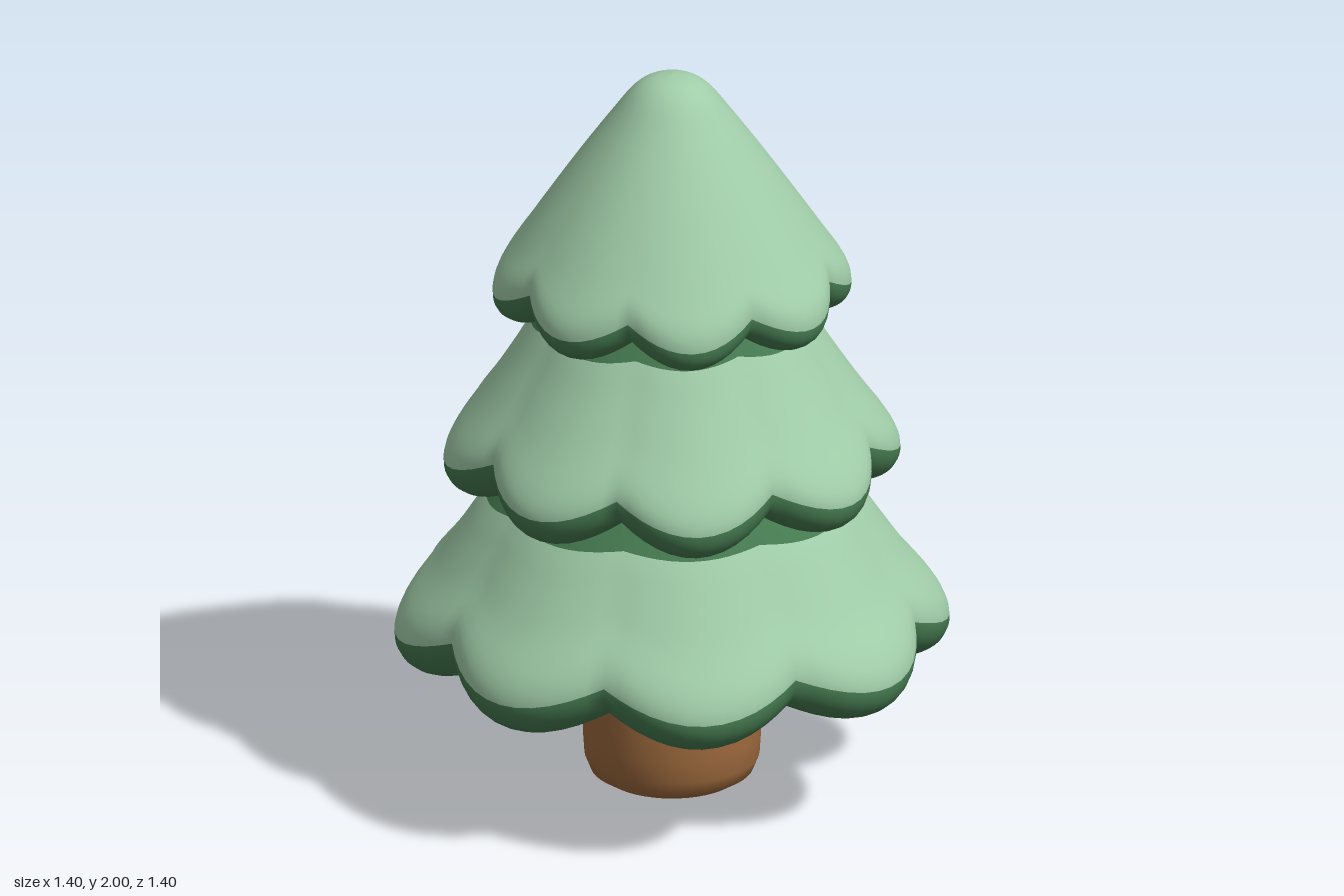
import * as THREE from 'three';

const mat = (name, color) => {
  const m = new THREE.MeshStandardMaterial({ color });
  m.name = name;
  return m;
};

const SEGMENTS = 96; // around the tree
const STEPS = 4;     // rows between two profile points

// One foliage tier: a profile swept round the axis, scalloped into eight lobes.
// upper: [radius, y, scallop strength] from the top down to the widest point.
// capSpans: number of leading profile spans in the dark shade colour.
function tier(name, { upper, capSpans, base, size, cut, lift, inner }, light, dark) {
  const R = upper[upper.length - 1][0];
  const rim = [
    [R - 0.015 * size, base + 0.04 * size, 1],
    [R - 0.06 * size, base + 0.005, 1],
    [R - 0.12 * size, base, 1],
    [R - 0.23 * size, base + 0.04 * size, 0.7],
    [inner, base + 0.13 * size, 0],
  ];
  const points = [...upper, ...rim].map((p) => new THREE.Vector3(...p));
  const spans = points.length - 1;
  const rows = new THREE.CatmullRomCurve3(points, false, 'catmullrom', 0.5).getPoints(spans * STEPS);

  const position = [];
  for (const { x: r, y, z: strength } of rows) {
    for (let i = 0; i < SEGMENTS; i++) {
      const a = (i / SEGMENTS) * Math.PI * 2;
      const notch = (1 - Math.abs(Math.sin(4 * a))) * Math.max(0, strength);
      const radius = Math.max(0, r - cut * notch);
      position.push(radius * Math.sin(a), y + lift * notch, radius * Math.cos(a));
    }
  }

  const index = [];
  for (let j = 0; j < rows.length - 1; j++) {
    for (let i = 0; i < SEGMENTS; i++) {
      const k = (i + 1) % SEGMENTS;
      const a = j * SEGMENTS + i, b = a + SEGMENTS;
      const c = j * SEGMENTS + k, d = c + SEGMENTS;
      index.push(a, b, d, a, d, c);
    }
  }

  const geometry = new THREE.BufferGeometry();
  geometry.setAttribute('position', new THREE.Float32BufferAttribute(position, 3));
  geometry.setIndex(index);
  geometry.computeVertexNormals();

  // Shaded band at the top, light needles, dark rim and underside
  const perSpan = STEPS * SEGMENTS * 6;
  const start = capSpans * perSpan;
  const end = (upper.length - 1) * perSpan;
  if (start) geometry.addGroup(0, start, 0);
  geometry.addGroup(start, end - start, 1);
  geometry.addGroup(end, index.length - end, 0);

  const mesh = new THREE.Mesh(geometry, [dark, light]);
  mesh.name = name;
  return mesh;
}

export function createModel() {
  const light = mat('light green', 0xa0cca8);
  const dark = mat('dark green', 0x457a50);
  const bark = mat('bark brown', 0x9b683c);

  const tree = new THREE.Group();
  tree.name = 'pineTree';

  // Trunk with a rounded foot and a slight taper
  const outline = [
    [0, 0.003], [0.13, 0.001], [0.18, 0.008], [0.215, 0.03], [0.231, 0.07], [0.235, 0.13],
    [0.234, 0.2], [0.226, 0.3], [0.212, 0.4], [0.2, 0.52],
  ].map((p) => new THREE.Vector2(...p));
  const trunk = new THREE.Mesh(new THREE.LatheGeometry(outline, 48), bark);
  trunk.name = 'trunk';
  tree.add(trunk);

  // Foliage, bottom to top
  tree.add(tier('lowerFoliage', {
    upper: [[0.34, 0.99, 0], [0.49, 0.81, 0.25], [0.56, 0.71, 0.45], [0.63, 0.61, 0.7], [0.71, 0.51, 0.95], [0.735, 0.44, 1]],
    capSpans: 1, base: 0.345, size: 1, cut: 0.07, lift: 0.07, inner: 0.17,
  }, light, dark));

  tree.add(tier('middleFoliage', {
    upper: [[0.27, 1.46, 0], [0.372, 1.305, 0.25], [0.43, 1.21, 0.4], [0.51, 1.09, 0.7], [0.585, 0.985, 0.95], [0.605, 0.925, 1]],
    capSpans: 1, base: 0.84, size: 0.9, cut: 0.065, lift: 0.07, inner: 0.28,
  }, light, dark));

  tree.add(tier('topFoliage', {
    upper: [[0, 2, 0], [0.055, 1.99, 0], [0.105, 1.957, 0], [0.165, 1.88, 0.05], [0.245, 1.77, 0.15],
      [0.325, 1.655, 0.35], [0.41, 1.53, 0.7], [0.463, 1.45, 0.95], [0.475, 1.395, 1]],
    capSpans: 0, base: 1.325, size: 0.75, cut: 0.045, lift: 0.06, inner: 0.2,
  }, light, dark));

  return tree;
}
